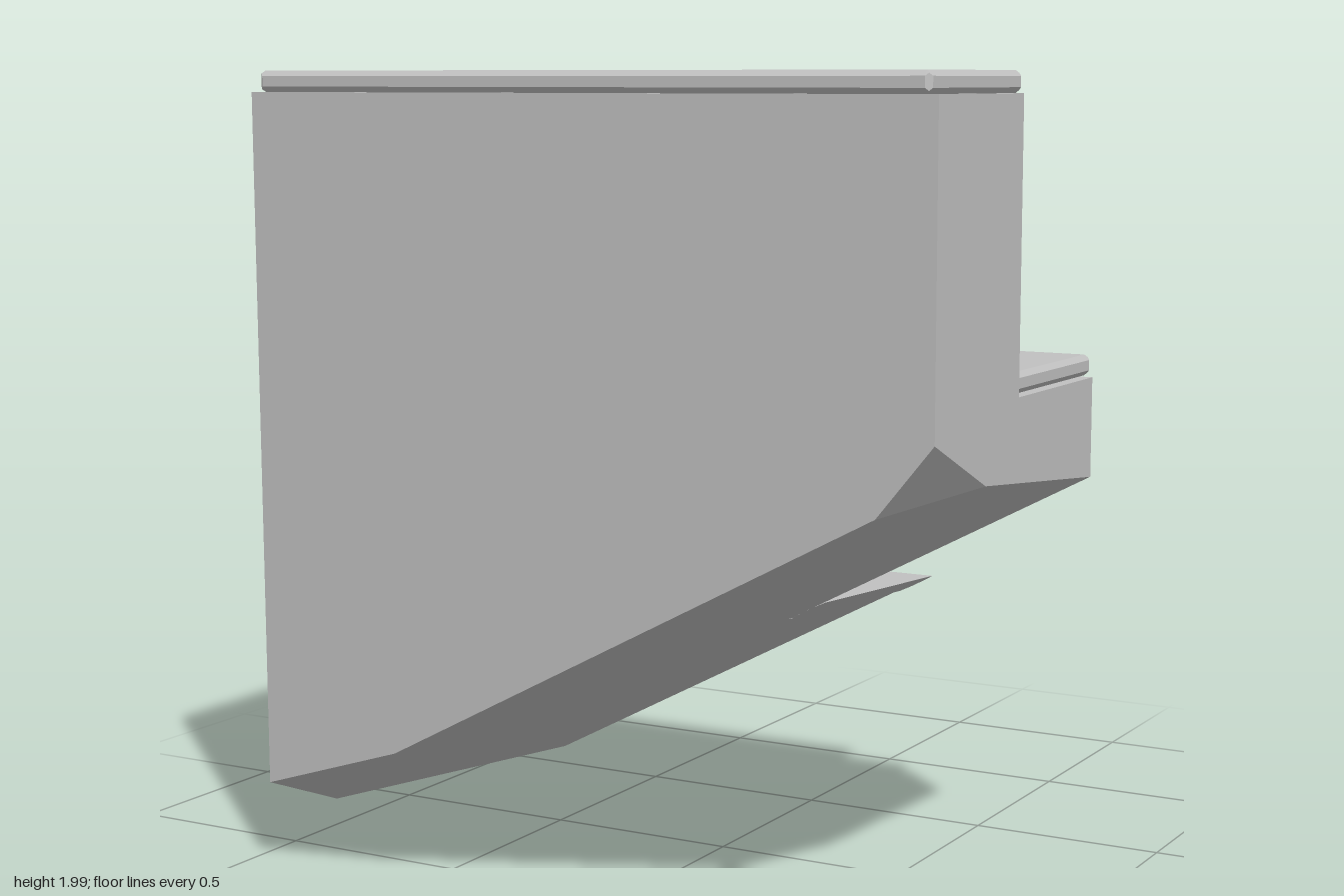
import * as THREE from 'three';
import { ConvexGeometry } from 'three/addons/geometries/ConvexGeometry.js';

// Half-space: the solid lies where n.p <= d
const half = (x, y, z, d) => ({ n: new THREE.Vector3(x, y, z), d });

// Sloping underside: the solid lies above y = y0 + a (x - x0) + b (z - z0)
const above = (x0, y0, z0, a, b) => half(a, -1, b, a * x0 + b * z0 - y0);

const underside = [
  above(0.91, 1.21, 0.707, 1.22, 0.45),   // steep cut along the left end
  above(0.77, 1.04, 0.707, 0.531, 0.101), // main soffit
  above(-0.91, 0.23, 0.707, 0.32, 0.407), // small cut at the low front corner
];

// Box as half-spaces, with optional chamfers on all twelve edges
function box(min, max, chamfer = 0) {
  const planes = [];
  const axes = [0, 1, 2];
  const at = (i, s) => (s > 0 ? max[i] : -min[i]);
  for (const i of axes) {
    for (const s of [-1, 1]) {
      const n = [0, 0, 0];
      n[i] = s;
      planes.push(half(...n, at(i, s)));
      if (!chamfer) continue;
      for (const j of axes.filter((k) => k > i)) {
        for (const t of [-1, 1]) {
          const m = [0, 0, 0];
          m[i] = s;
          m[j] = t;
          planes.push(half(...m, at(i, s) + at(j, t) - chamfer));
        }
      }
    }
  }
  return planes;
}

// Convex solid from half-spaces: keep every three-plane corner inside all others
function solid(planes) {
  const points = [];
  const c = new THREE.Vector3();
  for (let i = 0; i < planes.length; i++)
    for (let j = i + 1; j < planes.length; j++)
      for (let k = j + 1; k < planes.length; k++) {
        const [p, q, r] = [planes[i], planes[j], planes[k]];
        const det = p.n.dot(c.crossVectors(q.n, r.n));
        if (Math.abs(det) < 1e-6) continue;
        const v = new THREE.Vector3()
          .addScaledVector(c, p.d)
          .addScaledVector(c.clone().crossVectors(r.n, p.n), q.d)
          .addScaledVector(c.clone().crossVectors(p.n, q.n), r.d)
          .divideScalar(det);
        if (planes.some((h) => h.n.dot(v) > h.d + 1e-6)) continue;
        if (points.every((o) => o.distanceTo(v) > 1e-5)) points.push(v);
      }
  return new ConvexGeometry(points);
}

export function createModel() {
  const group = new THREE.Group();
  const stone = new THREE.MeshStandardMaterial({ color: 0xc0c0c0 });
  stone.name = 'light grey';

  const add = (name, planes) => {
    const mesh = new THREE.Mesh(solid(planes), stone);
    mesh.name = name;
    group.add(mesh);
  };

  const rise = 0.683;
  const run = 0.456;
  ['top', 'middle', 'bottom'].forEach((level, i) => {
    const y = 2 - rise * i;
    const front = 0.707 - run * i;
    // Solid step block, cut off by the sloping underside
    add(`${level}StepBlock`, [
      ...box([-0.91, -0.1, front - run], [0.91, y - 0.051, front]),
      ...underside,
    ]);
    // Chamfered tread with a nosing overhanging the riser behind it
    add(`${level}Tread`, [
      ...box([-0.89, y - 0.051, front - 0.497], [0.89, y, front - 0.001], 0.013),
      ...underside,
    ]);
  });

  return group;
}
